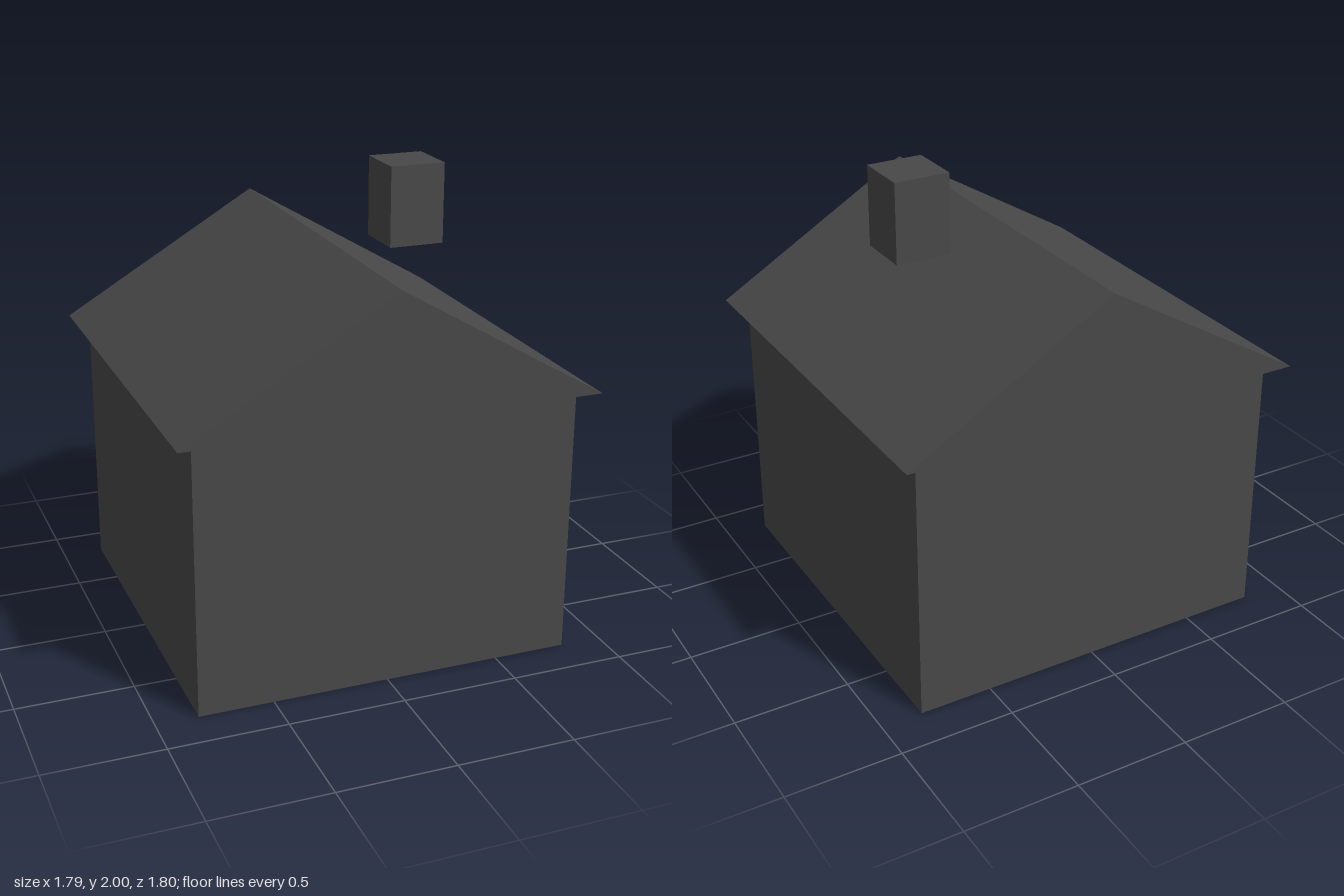
import * as THREE from 'three';

const charcoal = new THREE.MeshStandardMaterial({ color: 0x484848 });
charcoal.name = 'charcoal';

function addMesh(group, name, geometry, x, y, z) {
  const mesh = new THREE.Mesh(geometry, charcoal);
  mesh.name = name;
  mesh.position.set(x, y, z);
  group.add(mesh);
}

export function createModel() {
  const house = new THREE.Group();
  house.name = 'house';

  // Square walls
  const wallHeight = 1.18;
  addMesh(house, 'walls', new THREE.BoxGeometry(1.64, wallHeight, 1.64), 0, wallHeight / 2, 0);

  // Gabled roof: a triangular prism overhanging the walls on every side
  const half = 0.895, rise = 0.53, length = 1.8;
  const gable = new THREE.Shape([
    new THREE.Vector2(-half, 0),
    new THREE.Vector2(half, 0),
    new THREE.Vector2(0, rise),
  ]);
  const roof = new THREE.ExtrudeGeometry(gable, { depth: length, bevelEnabled: false });
  addMesh(house, 'roof', roof, 0, wallHeight, -length / 2);

  // Chimney block, set clear above the left roof slope
  addMesh(house, 'chimney', new THREE.BoxGeometry(0.245, 0.35, 0.245), 0.407, 1.825, 0);

  return house;
}
